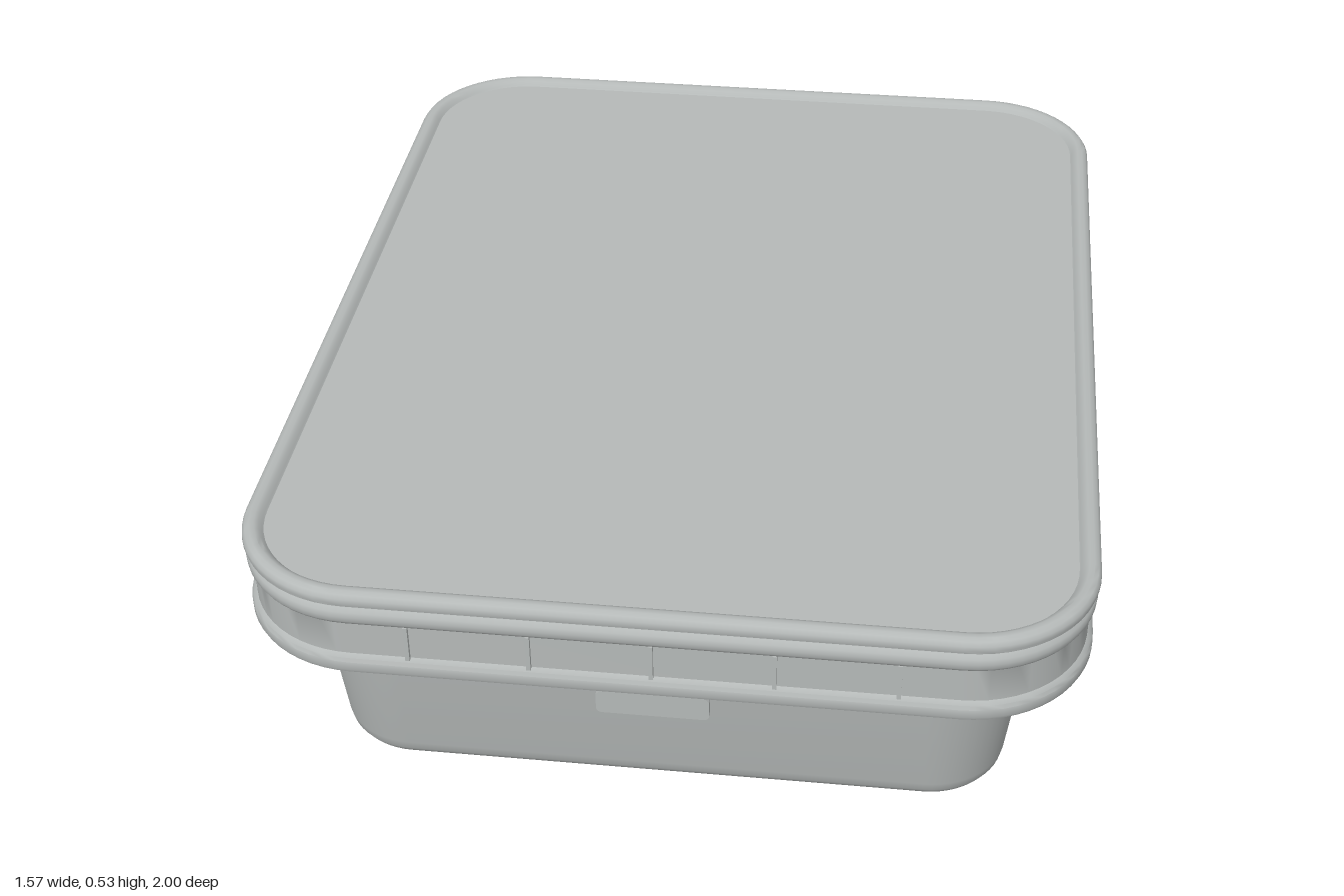
import * as THREE from 'three';
import { toCreasedNormals } from 'three/addons/utils/BufferGeometryUtils.js';

const CORNER_STEPS = 14;

// Rounded-rectangle ring in the xz plane
function ring([hx, hz, r, y]) {
  const pts = [];
  for (let q = 0; q < 4; q++) {
    const sx = q === 0 || q === 3 ? 1 : -1;
    const sz = q < 2 ? 1 : -1;
    for (let i = 0; i <= CORNER_STEPS; i++) {
      const a = (q + i / CORNER_STEPS) * Math.PI / 2;
      pts.push(sx * (hx - r) + r * Math.cos(a), y, sz * (hz - r) + r * Math.sin(a));
    }
  }
  return pts;
}

// Skin between rings [halfX, halfZ, cornerRadius, y], from the bottom upward
function loft(rings, crease = 0.6) {
  const n = 4 * (CORNER_STEPS + 1);
  const index = [];
  for (let k = 0; k < rings.length - 1; k++) {
    for (let i = 0; i < n; i++) {
      const j = (i + 1) % n;
      const a = k * n + i, b = k * n + j, c = a + n, d = b + n;
      if (rings[k + 1][0] > 0) index.push(a, c, d);
      if (rings[k][0] > 0) index.push(a, d, b);
    }
  }
  const geo = new THREE.BufferGeometry();
  geo.setAttribute('position', new THREE.Float32BufferAttribute(rings.flatMap(ring), 3));
  geo.setIndex(index);
  return toCreasedNormals(geo, crease);
}

// Ring inset from the lid's outer edge
const inset = (d, y) => [0.787 - d, 1 - d, 0.24 - d, y];
const centre = (y) => [0, 0, 0, y];

export function createModel() {
  const model = new THREE.Group();
  const plastic = new THREE.MeshStandardMaterial({ color: 0xb5b9b8 });
  plastic.name = 'pale grey plastic';

  const add = (name, geo, parent = model) => {
    const mesh = new THREE.Mesh(geo, plastic);
    mesh.name = name;
    parent.add(mesh);
    return mesh;
  };

  // Tapered tub with a rounded lower edge
  add('tub', loft([
    centre(0.004), [0.6, 0.805, 0.11, 0.004], [0.605, 0.81, 0.115, 0],
    [0.622, 0.827, 0.13, 0.002], [0.635, 0.84, 0.14, 0.01],
    [0.643, 0.847, 0.146, 0.022], [0.647, 0.851, 0.15, 0.04],
    [0.685, 0.887, 0.19, 0.345],
  ]));

  // Collar: lower bead, recessed band and upper bead
  add('collar', loft([
    [0.675, 0.877, 0.18, 0.342], inset(0.014, 0.342), inset(0.006, 0.346),
    inset(0.003, 0.353), inset(0.003, 0.37), inset(0.006, 0.378), inset(0.014, 0.384),
    inset(0.014, 0.455), inset(0.008, 0.459), inset(0.004, 0.466), inset(0.003, 0.476),
    inset(0.005, 0.486), inset(0.012, 0.493), inset(0.026, 0.495), inset(0.026, 0.505),
  ]));

  // Lid with a raised rounded rim around a shallow panel
  add('lid', loft([
    inset(0.03, 0.498), inset(0.008, 0.499), inset(0.002, 0.503), inset(0, 0.51),
    inset(0.001, 0.519), inset(0.006, 0.526), inset(0.014, 0.53), inset(0.024, 0.53),
    inset(0.032, 0.526), inset(0.037, 0.519), inset(0.04, 0.516), centre(0.516),
  ]));

  // Upright ribs across the recessed band on all four sides
  const ribs = new THREE.Group();
  ribs.name = 'collarRibs';
  model.add(ribs);
  const endRib = new THREE.BoxGeometry(0.008, 0.076, 0.014);
  const sideRib = new THREE.BoxGeometry(0.014, 0.076, 0.008);
  for (const s of [-1, 1]) {
    for (let i = -2; i <= 2; i++) {
      add('endRib', endRib, ribs).position.set(i * 0.22, 0.42, s * 0.987);
    }
    for (let i = -3; i <= 3; i++) {
      add('sideRib', sideRib, ribs).position.set(s * 0.774, 0.42, i * 0.214);
    }
  }

  // Pull tab hanging below the front of the collar
  const tab = new THREE.Shape();
  tab.moveTo(-0.085, 0.346);
  tab.lineTo(-0.103, 0.325);
  tab.lineTo(-0.103, 0.295);
  tab.quadraticCurveTo(-0.103, 0.283, -0.091, 0.283);
  tab.lineTo(0.091, 0.283);
  tab.quadraticCurveTo(0.103, 0.283, 0.103, 0.295);
  tab.lineTo(0.103, 0.325);
  tab.lineTo(0.085, 0.346);
  const tabGeo = new THREE.ExtrudeGeometry(tab, { depth: 0.014, bevelEnabled: false });
  add('pullTab', tabGeo).position.z = 0.967;

  // Small hinge posts joining the tab to the collar
  for (const s of [-1, 1]) {
    add('tabHinge', new THREE.BoxGeometry(0.02, 0.02, 0.02)).position.set(s * 0.075, 0.337, 0.974);
  }

  return model;
}
